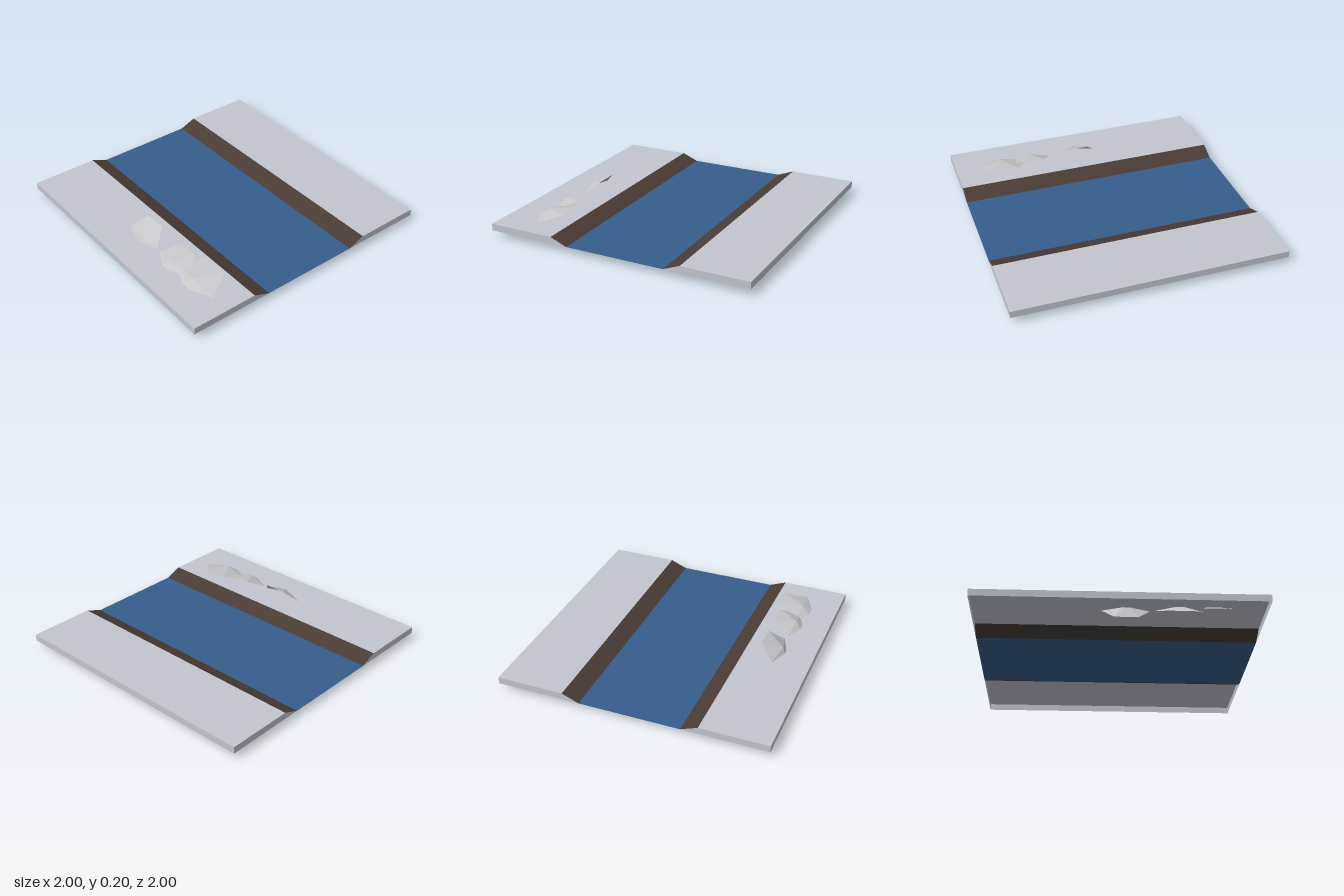
import * as THREE from 'three';

const material = (name, color) => {
  const m = new THREE.MeshStandardMaterial({ color, side: THREE.DoubleSide });
  m.name = name;
  return m;
};

const TOP = 0.1, LOW = 0.05;      // bank height and water level
const EDGE = 0.5, SHORE = 0.375;  // where the slope starts and meets the water

export function createModel() {
  const group = new THREE.Group();
  const snow = material('snow', 0xc2c5ce);
  const earth = material('earth', 0x4a3c35);
  const water = material('water', 0x365d8b);
  const stone = material('stone', 0xc4c6c8);

  const add = (name, geometry, mat) => {
    const mesh = new THREE.Mesh(geometry, mat);
    mesh.name = name;
    group.add(mesh);
    return mesh;
  };

  // Strip running the full length in z between two points [x, y]; x0 < x1 faces up
  const strip = ([x0, y0], [x1, y1]) => {
    const g = new THREE.BufferGeometry();
    g.setAttribute('position', new THREE.Float32BufferAttribute(
      [x0, y0, 1, x1, y1, 1, x1, y1, -1, x0, y0, -1], 3));
    g.setIndex([0, 1, 2, 0, 2, 3]);
    g.computeVertexNormals();
    return g;
  };

  add('river', strip([-SHORE, LOW], [SHORE, LOW]), water);

  // Banks: hollow underneath, with a top, a slope and thin skirts
  add('rightBankTop', strip([-1, TOP], [-EDGE, TOP]), snow);
  add('leftBankTop', strip([EDGE, TOP], [1, TOP]), snow);
  add('rightBankSlope', strip([-EDGE, TOP], [-SHORE, LOW]), earth);
  add('leftBankSlope', strip([SHORE, LOW], [EDGE, TOP]), earth);
  add('rightSkirt', strip([-1, LOW], [-1, TOP]), snow);
  add('leftSkirt', strip([1, TOP], [1, LOW]), snow);

  for (const [side, s] of [['left', 1], ['right', -1]]) {
    const profile = new THREE.Shape([[1, LOW], [1, TOP], [EDGE, TOP], [SHORE, LOW]]
      .map(([x, y]) => new THREE.Vector2(s * x, y)));
    add(side + 'FrontSkirt', new THREE.ShapeGeometry(profile), snow).position.z = 1;
    const back = add(side + 'BackSkirt', new THREE.ShapeGeometry(profile).scale(-1, 1, 1).rotateY(Math.PI), snow);
    // mirrored copy turned outward to face -z
    const index = back.geometry.index.array;
    for (let i = 0; i < index.length; i += 3) [index[i], index[i + 1]] = [index[i + 1], index[i]];
    back.geometry.computeVertexNormals();
    back.position.z = -1;
  }

  // Tilted six-sided rock shells: x, z, radius, height, tilt in degrees
  const rocks = [
    [-0.73, 0.045, 0.165, 0.052, 43.2],
    [-0.74, 0.41, 0.167, 0.045, 26],
    [-0.73, 0.645, 0.206, 0.042, 18.3],
  ];
  rocks.forEach(([x, z, radius, height, tilt], i) => {
    const g = new THREE.ConeGeometry(radius, height, 6, 1, true)
      .translate(0, height / 2, 0).toNonIndexed();
    g.computeVertexNormals();
    const rock = add('rock' + (i + 1), g, stone);
    rock.position.set(x, 0.099, z);
    rock.rotation.z = THREE.MathUtils.degToRad(tilt);
  });

  return group;
}
